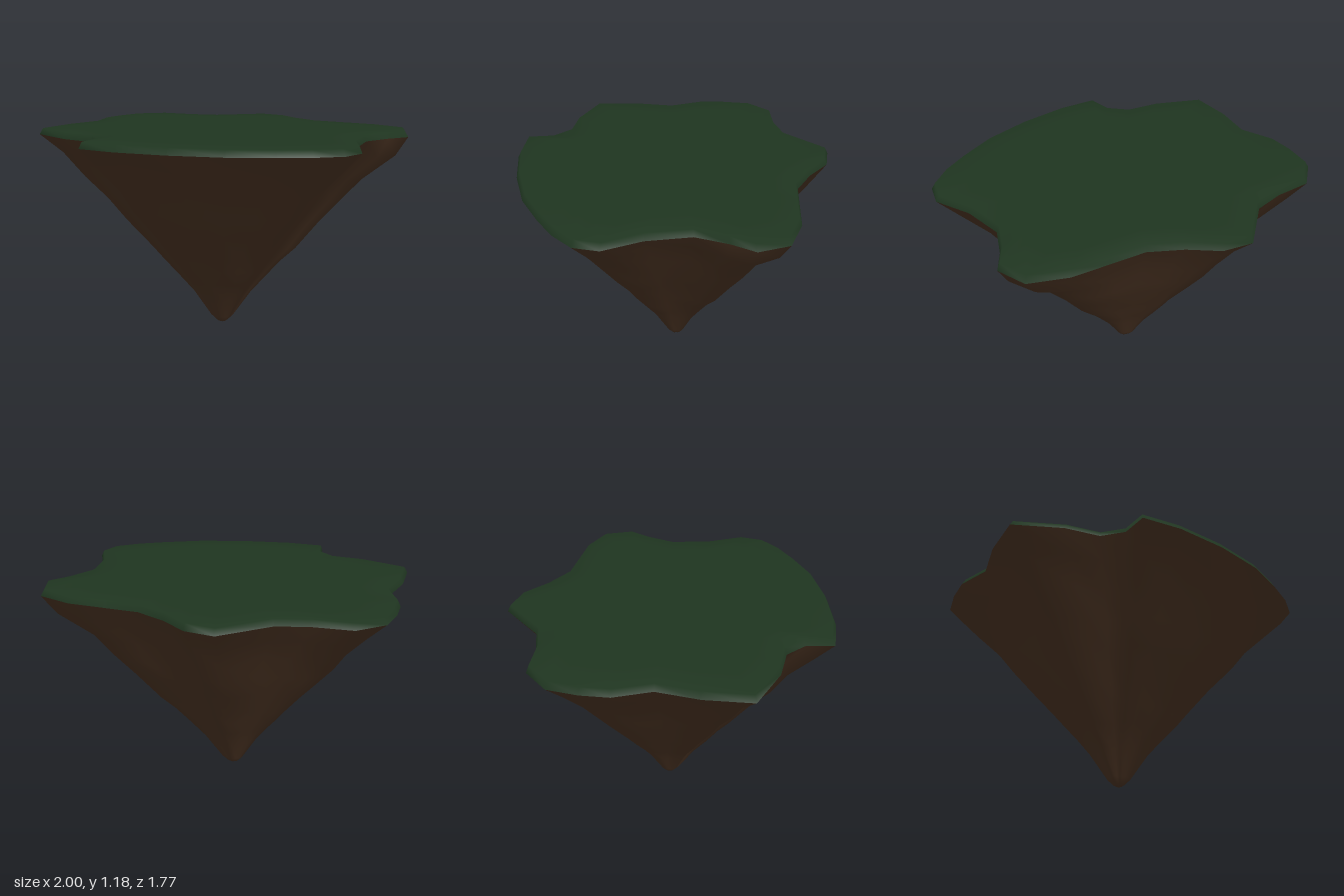
import * as THREE from 'three';

// Island outline as [x, z], clockwise seen from above
const OUTLINE = [
  [-0.08, -0.89], [0.08, -0.84], [0.21, -0.71], [0.37, -0.6], [0.57, -0.56], [0.77, -0.52],
  [0.96, -0.42], [1, -0.25], [0.91, -0.14], [0.82, 0.02], [0.83, 0.26], [0.9, 0.47],
  [0.85, 0.6], [0.72, 0.69], [0.56, 0.76], [0.33, 0.84], [0.04, 0.88], [-0.25, 0.88],
  [-0.47, 0.84], [-0.47, 0.69], [-0.56, 0.58], [-0.75, 0.53], [-1, 0.39], [-0.97, 0.14],
  [-0.9, -0.08], [-0.95, -0.28], [-0.93, -0.43], [-0.88, -0.59], [-0.73, -0.7],
  [-0.52, -0.68], [-0.34, -0.7],
];
const N = OUTLINE.length;

function seeded(seed) {
  return () => (seed = (seed * 16807) % 2147483647) / 2147483647;
}

// Skin between closed rings of N points, listed so that faces point outwards
function loft(rings) {
  const index = [];
  for (let r = 0; r < rings.length - 1; r++) {
    for (let i = 0; i < N; i++) {
      const j = (i + 1) % N;
      const a = r * N + i, b = r * N + j;
      index.push(a, b, a + N, b, b + N, a + N);
    }
  }
  const geometry = new THREE.BufferGeometry();
  geometry.setAttribute('position', new THREE.Float32BufferAttribute(rings.flat(2), 3));
  geometry.setIndex(index);
  geometry.computeVertexNormals();
  return geometry;
}

export function createModel() {
  const island = new THREE.Group();
  island.name = 'floatingIsland';

  // Grass: flat top with a thin, slightly inset lip
  const grassRings = [[0.001, 1.18], [0.8, 1.18], [0.98, 1.18], [1, 1.145]].map(([s, y]) =>
    OUTLINE.map(([x, z]) => [x * s, y, z * s]));
  const grass = new THREE.Mesh(loft(grassRings), new THREE.MeshStandardMaterial({ color: 0x1f3520 }));
  grass.name = 'grassTop';
  island.add(grass);

  // Rock: the outline shrinks down to a blunt tip, with small bumps
  const random = seeded(7);
  const levels = [
    [1, 1.145], [0.89, 1.04], [0.76, 0.9], [0.655, 0.77], [0.54, 0.64], [0.4, 0.48],
    [0.335, 0.4], [0.25, 0.3], [0.165, 0.2], [0.065, 0.05], [0.03, 0.015], [0.001, 0.003],
  ];
  const rockRings = levels.map(([s, y], level) => OUTLINE.map(([x, z], i) => {
    const inner = level > 0 && level < 9;
    const round = (1 - s) * 0.35;
    let k = s * (1 - round + round * 0.93 / Math.hypot(x, z));
    if (inner) k *= 1 + (random() - 0.5) * 0.03;
    // Ledges on the left-hand spur
    if (i >= 6 && i <= 8 && (level === 1 || level === 5)) k *= 1.05;
    return [x * k - 0.025 * (1 - s), y, z * k];
  }));
  const rock = new THREE.Mesh(loft(rockRings), new THREE.MeshStandardMaterial({ color: 0x463020 }));
  rock.name = 'rockBase';
  island.add(rock);

  return island;
}
